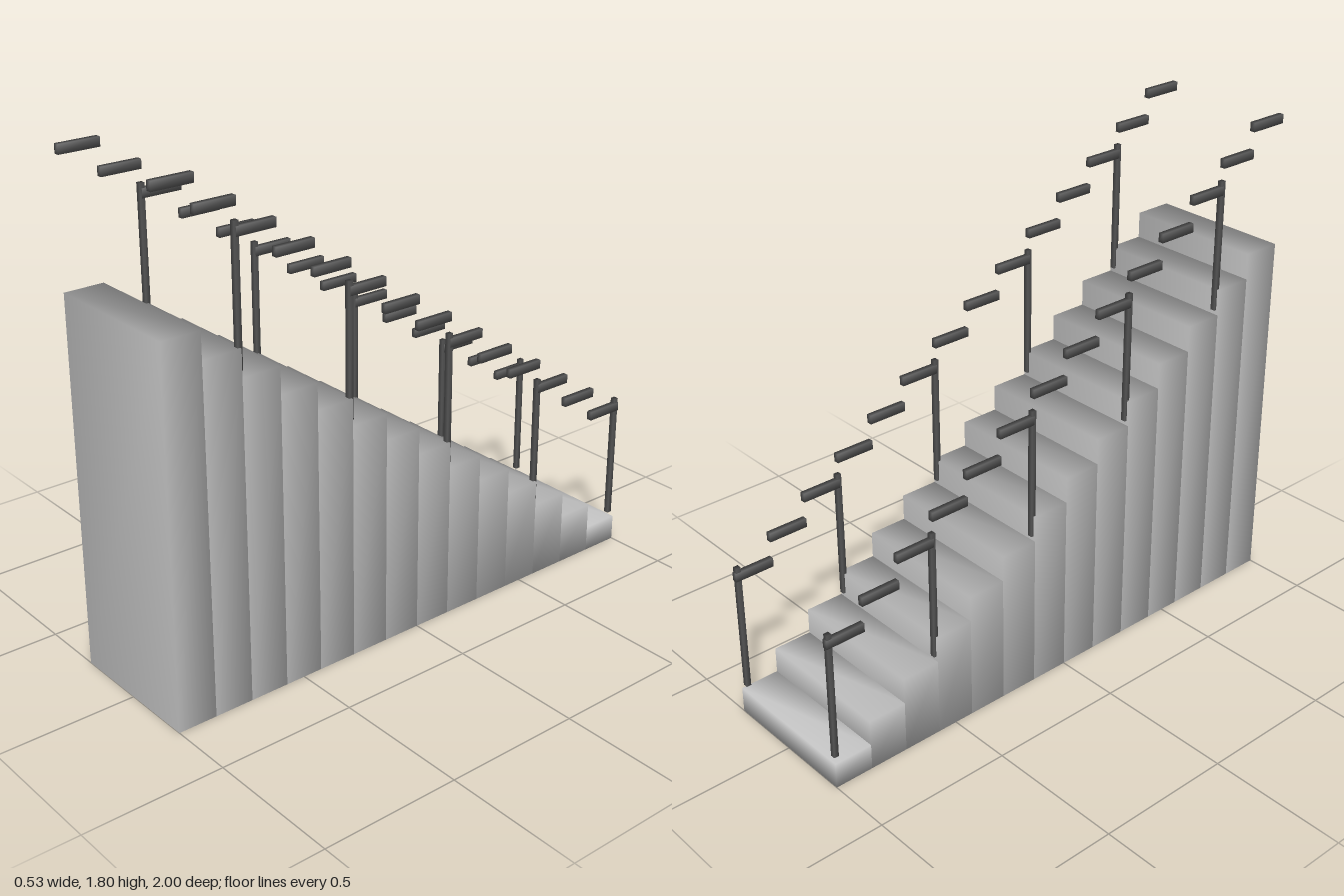
import * as THREE from 'three';
import { mergeVertices } from 'three/addons/utils/BufferGeometryUtils.js';

const STEPS = 14, RUN = 2 / STEPS, RISE = 0.095, RAIL_X = 0.248;

// Box with shared corners, so its shading runs smoothly over the edges
function softBox(w, h, d) {
  const g = new THREE.BoxGeometry(w, h, d);
  g.deleteAttribute('normal');
  g.deleteAttribute('uv');
  const merged = mergeVertices(g);
  merged.computeVertexNormals();
  return merged;
}

export function createModel() {
  const model = new THREE.Group();
  model.name = 'staircase';
  const material = new THREE.MeshStandardMaterial({ color: 0xcccccc });
  const darkMaterial = new THREE.MeshStandardMaterial({ color: 0x555555 });

  const add = (name, geometry, mat, x, y, z) => {
    const mesh = new THREE.Mesh(geometry, mat);
    mesh.name = name;
    mesh.position.set(x, y, z);
    model.add(mesh);
  };

  // Solid steps, each reaching down to the ground, rising towards +z
  for (let i = 0; i < STEPS; i++) {
    const h = RISE * (i + 1);
    add(`step${i + 1}`, softBox(0.53, h, RUN), material, 0, h / 2, -1 + RUN * (i + 0.5));
  }

  const railGeometry = softBox(0.02, 0.032, 0.146);
  const postGeometry = softBox(0.018, 0.474, 0.018);
  for (const [side, x] of [['left', RAIL_X], ['right', -RAIL_X]]) {
    // One level handrail piece above every step
    for (let i = 0; i < STEPS; i++) {
      const z = THREE.MathUtils.clamp(-1 + RUN * (i + 0.5), -0.927, 0.927);
      add(`${side}Handrail${i + 1}`, railGeometry, darkMaterial, x, RISE * (i + 1) + 0.458, z);
    }
    // Posts at the foot and on every third step
    for (const n of [1, 3, 6, 9, 12]) {
      const z = n === 1 ? -0.988 : -1 + RUN * n;
      add(`${side}Post${n}`, postGeometry, darkMaterial, x, RISE * n + 0.255, z);
    }
  }
  return model;
}
